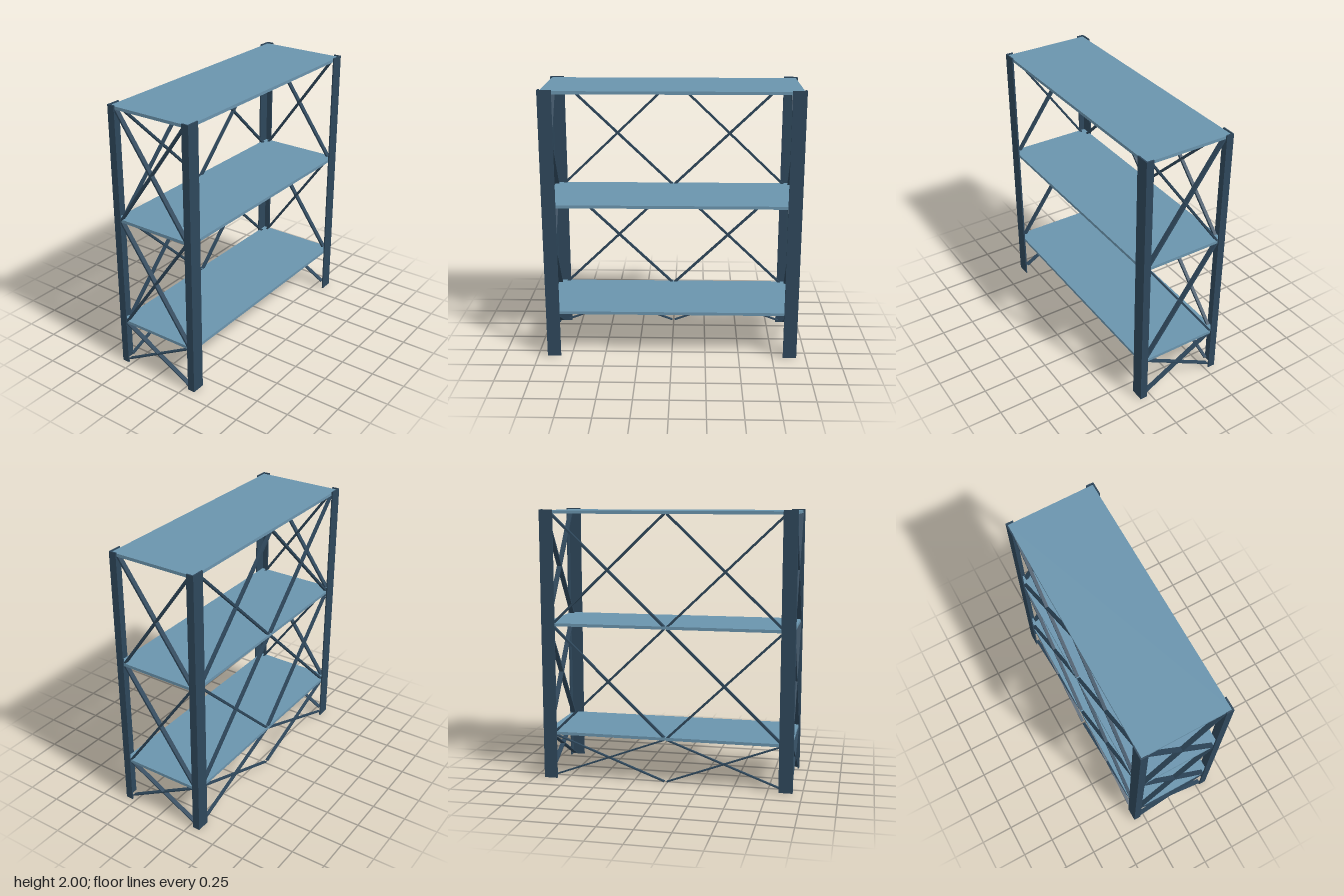
import * as THREE from 'three';

export function createModel() {
  const model = new THREE.Group();
  const shelfBlue = new THREE.MeshStandardMaterial({ color: 0x6a94ad });
  const frameNavy = new THREE.MeshStandardMaterial({ color: 0x2e475b });
  shelfBlue.name = 'shelfBlue';
  frameNavy.name = 'frameNavy';

  function box(parent, name, mat, size, pos) {
    const mesh = new THREE.Mesh(new THREE.BoxGeometry(...size), mat);
    mesh.name = name;
    mesh.position.set(...pos);
    parent.add(mesh);
    return mesh;
  }

  // Corner posts: L-shaped angle profile, mirrored into each corner
  const W = 0.93, D = 0.335, T = 0.01;
  const profile = [[W, D], [W - 0.1, D], [W - 0.1, D - T], [W - T, D - T], [W - T, D - 0.055], [W, D - 0.055]];
  for (const sx of [-1, 1]) {
    for (const sz of [-1, 1]) {
      const shape = new THREE.Shape(profile.map(([x, z]) => new THREE.Vector2(sx * x, -sz * z)));
      const geo = new THREE.ExtrudeGeometry(shape, { depth: 2, bevelEnabled: false });
      geo.rotateX(-Math.PI / 2);
      const post = new THREE.Mesh(geo, frameNavy);
      post.name = (sz > 0 ? 'front' : 'back') + (sx > 0 ? 'Left' : 'Right') + 'Post';
      model.add(post);
    }
  }

  // Shelves: thin deck with a turned-down rim and a cross rib underneath
  const SX = 0.918, SZ = 0.325, H = 0.022;
  [0.356, 1.174, 1.992].forEach((top, i) => {
    const shelf = new THREE.Group();
    shelf.name = 'shelf' + (i + 1);
    box(shelf, 'deck', shelfBlue, [2 * SX, 0.006, 2 * SZ], [0, top - 0.003, 0]);
    const y = top - 0.006 - (H - 0.006) / 2, h = H - 0.006;
    for (const s of [-1, 1]) {
      box(shelf, 'longRim', shelfBlue, [2 * SX, h, 0.008], [0, y, s * (SZ - 0.004)]);
      box(shelf, 'shortRim', shelfBlue, [0.008, h, 2 * SZ - 0.016], [s * (SX - 0.004), y, 0]);
    }
    box(shelf, 'rib', shelfBlue, [0.12, 0.012, 2 * SZ - 0.016], [0, top - 0.012, 0]);
    model.add(shelf);
  });

  // Crossed bars filling one bay; 'across' is the horizontal half-span
  function crossBrace(name, across, y0, y1, thick, depth) {
    const group = new THREE.Group();
    group.name = name;
    const rise = y1 - y0;
    const length = Math.hypot(2 * across, rise);
    for (const s of [-1, 1]) {
      const bar = box(group, 'braceBar', frameNavy, [length, thick, depth], [0, (y0 + y1) / 2, 0]);
      bar.rotation.z = s * Math.atan2(rise, 2 * across);
    }
    model.add(group);
    return group;
  }

  // Bays between floor and shelves; the lowest bay has slimmer bars
  const bays = [[0.022, 0.335, 0.009], [0.35, 1.154, 0.016], [1.168, 1.972, 0.016]];
  for (const [y0, y1, thick] of bays) {
    for (const s of [-1, 1]) {
      const back = crossBrace('backBrace', 0.42, y0, y1, thick, 0.024);
      back.position.set(s * 0.43, 0, -0.312);
      const side = crossBrace('sideBrace', 0.285, y0, y1, thick * 0.85, 0.035);
      side.rotation.y = Math.PI / 2;
      side.position.x = s * 0.902 - 0.004;
    }
  }
  return model;
}
